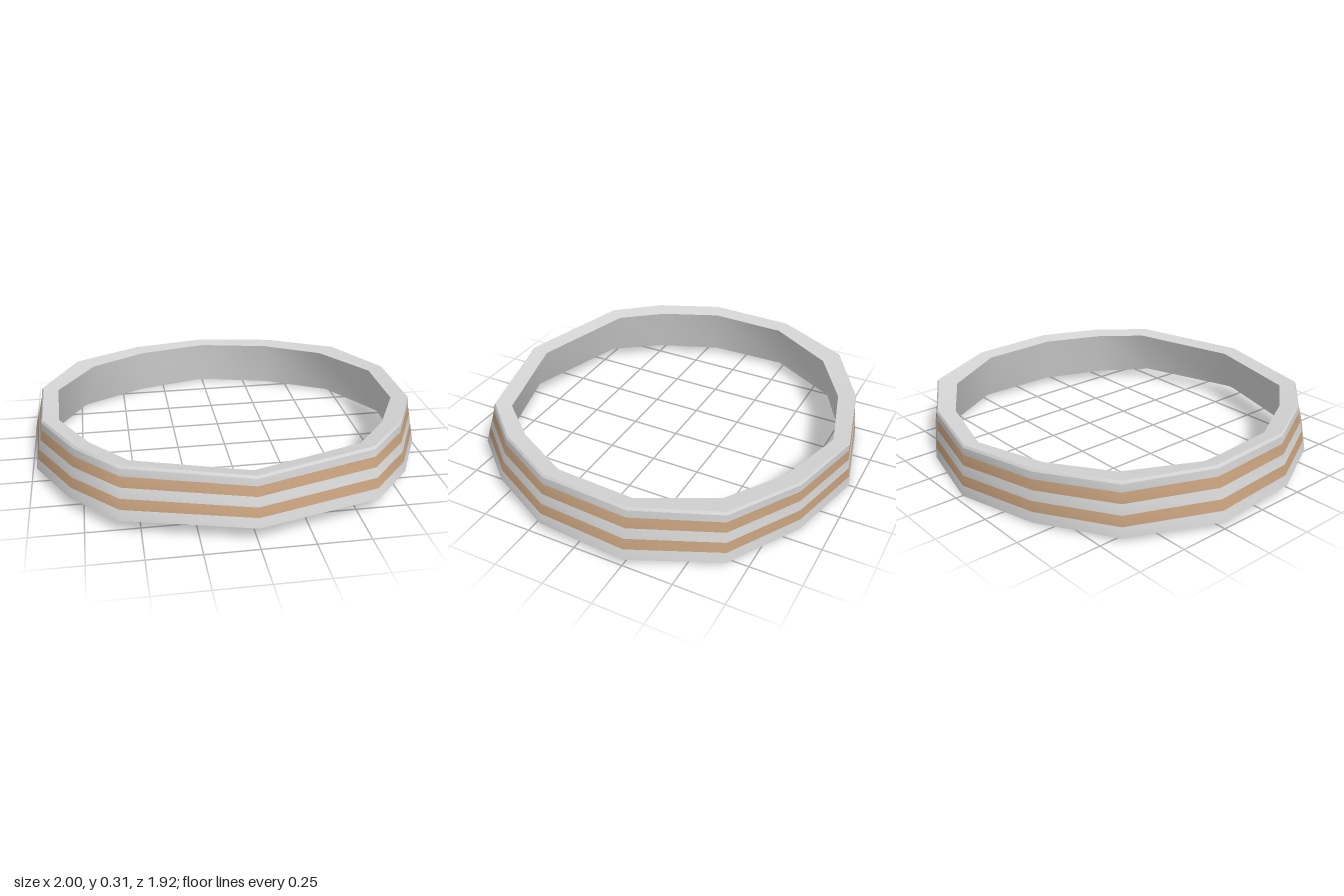
import * as THREE from 'three';

// Half outlines from back to front: [x, y, z] per corner
const OUTER_BOTTOM = [[0, 0, -0.965], [0.42, 0.008, -0.865], [0.79, 0.018, -0.66], [1, 0.035, -0.25],
  [0.975, 0.045, 0.2], [0.81, 0.06, 0.54], [0.595, 0.072, 0.79], [0, 0.08, 0.96]];
const OUTER_TOP = [[0, 0.255, -0.935], [0.405, 0.263, -0.84], [0.755, 0.273, -0.635], [0.935, 0.288, -0.25],
  [0.925, 0.3, 0.187], [0.77, 0.309, 0.5], [0.575, 0.311, 0.72], [0, 0.301, 0.888]];
const INNER_TOP = [[0, 0.245, -0.86], [0.37, 0.253, -0.76], [0.665, 0.26, -0.575], [0.858, 0.273, -0.235],
  [0.848, 0.284, 0.16], [0.705, 0.293, 0.445], [0.535, 0.295, 0.65], [0, 0.285, 0.81]];
const INNER_BOTTOM = [[0, 0.008, -0.89], [0.385, 0.007, -0.795], [0.725, 0.01, -0.605], [0.925, 0.02, -0.235],
  [0.905, 0.028, 0.18], [0.75, 0.043, 0.49], [0.555, 0.056, 0.72], [0, 0.063, 0.88]];

// Mirror a half outline into a closed ring
function ring(half) {
  const left = half.map((p) => new THREE.Vector3(...p));
  const right = half.slice(1, -1).reverse().map(([x, y, z]) => new THREE.Vector3(-x, y, z));
  return [...left, ...right];
}

const mix = (a, b, t) => a.map((p, i) => p.clone().lerp(b[i], t));

// Smooth closed strip between two rings
function strip(a, b) {
  const n = a.length;
  const index = [];
  for (let i = 0; i < n; i++) {
    const j = (i + 1) % n;
    index.push(i, n + j, j, i, n + i, n + j);
  }
  const geometry = new THREE.BufferGeometry().setFromPoints([...a, ...b]);
  geometry.setIndex(index);
  geometry.computeVertexNormals();
  return geometry;
}

export function createModel() {
  const group = new THREE.Group();
  group.name = 'bandRing';
  const grey = new THREE.MeshStandardMaterial({ name: 'lightGrey', color: 0xd4d4d4, side: THREE.DoubleSide });
  const tan = new THREE.MeshStandardMaterial({ name: 'tan', color: 0xc49f7c, side: THREE.DoubleSide });

  const add = (name, a, b, material) => {
    const mesh = new THREE.Mesh(strip(a, b), material);
    mesh.name = name;
    group.add(mesh);
  };

  const bottom = ring(OUTER_BOTTOM);
  const top = ring(OUTER_TOP);
  const innerTop = ring(INNER_TOP);
  const innerBottom = ring(INNER_BOTTOM);

  // Shoulder just below the rim, pushed slightly outwards for a small bevel
  const shoulder = mix(bottom, top, 0.95).map((p) => new THREE.Vector3(p.x * 1.006, p.y, p.z * 1.006));

  // Outer wall: five equal bands, the second and fourth are stripes
  for (let i = 0; i < 5; i++) {
    const lower = mix(bottom, top, i / 5);
    const upper = i === 4 ? shoulder : mix(bottom, top, (i + 1) / 5);
    const striped = i % 2 === 1;
    add(striped ? 'stripe' : 'outerBand', lower, upper, striped ? tan : grey);
  }

  // Rim, inside and underside
  add('rimBevel', shoulder, top, grey);
  add('topRim', top, innerTop, grey);
  add('innerWall', innerTop, innerBottom, grey);
  add('underside', innerBottom, bottom, grey);
  return group;
}
